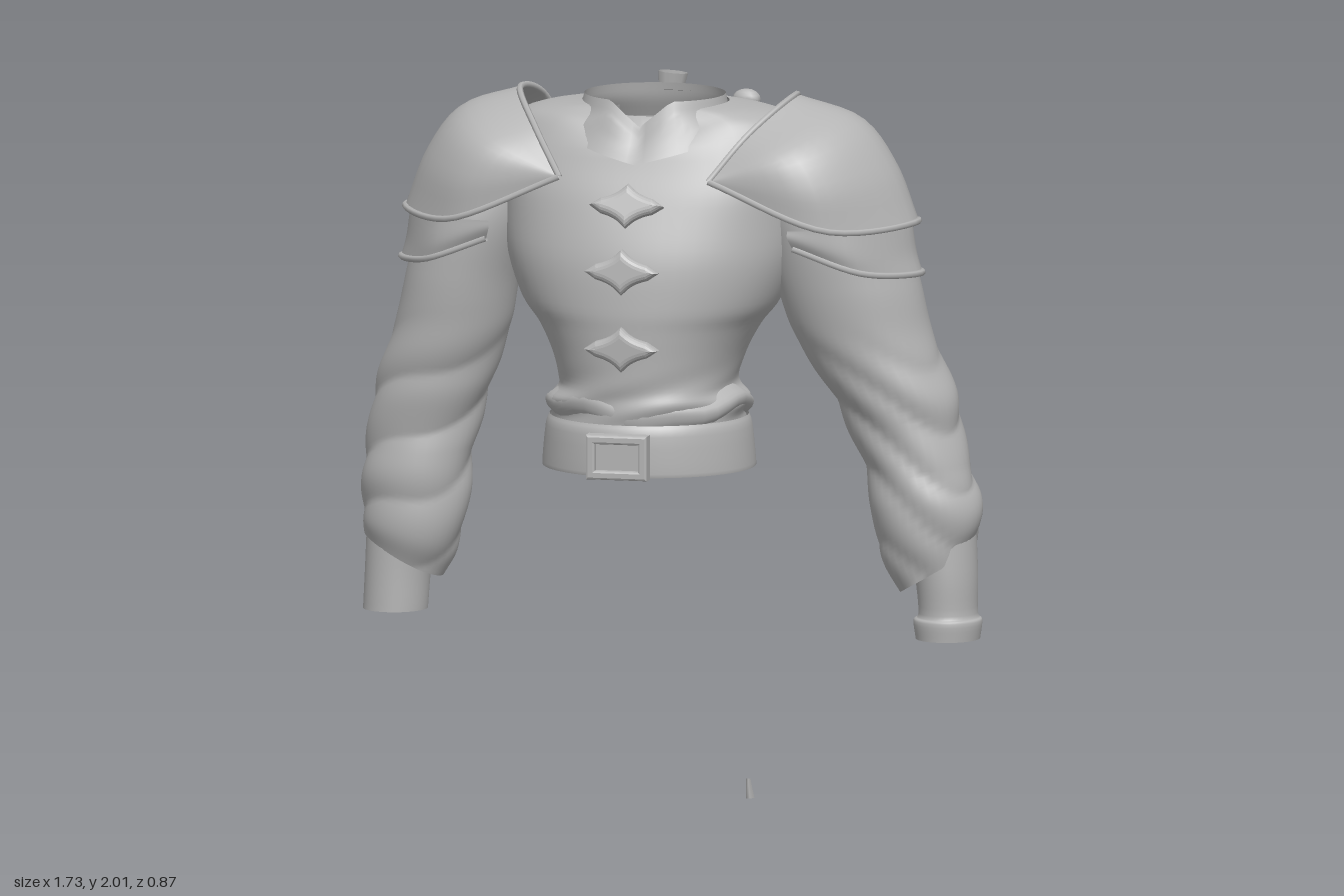
import * as THREE from 'three';
import { mergeGeometries } from 'three/addons/utils/BufferGeometryUtils.js';

const AXIS = -0.048; // middle of the jacket
const cloth = new THREE.MeshStandardMaterial({ color: 0xb4b4b4, side: THREE.DoubleSide });
cloth.name = 'plain grey';

// Smoothly resample a list of number rows.
function smoothRows(rows, n) {
  const size = rows[0].length;
  const spline = new THREE.CubicInterpolant(rows.map((_, i) => i), rows.flat(), size, new Array(size));
  return Array.from({ length: n + 1 }, (_, i) => Array.from(spline.evaluate((i / n) * (rows.length - 1))));
}

// Skin over rows of flat xyz triples.
function skin(rows, closed, reverse = false) {
  const n = rows[0].length / 3, index = [];
  for (let r = 0; r < rows.length - 1; r++) {
    for (let c = 0; c < (closed ? n : n - 1); c++) {
      const a = r * n + c, b = r * n + ((c + 1) % n), d = a + n, e = b + n;
      if (reverse) index.push(a, b, d, b, e, d);
      else index.push(a, d, b, b, d, e);
    }
  }
  const g = new THREE.BufferGeometry();
  g.setAttribute('position', new THREE.Float32BufferAttribute(rows.flat(), 3));
  g.setIndex(index);
  g.computeVertexNormals();
  return g;
}

// Closed tube from sections [y, xMin, xMax, zFront, zBack], listed upward.
function loft(sections, steps, { sides = 40, fold = () => 1, lift = () => 0 } = {}) {
  const rows = smoothRows(sections, steps).map(([y, x0, x1, zf, zb]) => {
    const row = [];
    for (let i = 0; i < sides; i++) {
      const a = (i / sides) * Math.PI * 2, f = fold(a, y);
      row.push((x0 + x1) / 2 + Math.cos(a) * f * (x1 - x0) / 2,
        y + lift(a, y),
        (zf + zb) / 2 + Math.sin(a) * f * (zf - zb) / 2);
    }
    return row;
  });
  return skin(rows, true);
}

const ring = (y, half, zf, zb) => [y, AXIS - half, AXIS + half, zf, zb];
const vNotch = (a, w) => Math.max(0, 1 - Math.abs(a - Math.PI / 2) / w); // V at the throat
const bump = (y, mid, w) => Math.exp(-(((y - mid) / w) ** 2));

// Waist crumples, and squarer shoulders higher up
function bodyFold(a, y) {
  const n = 2 + 0.5 * bump(y, 1.8, 0.12);
  const square = (Math.abs(Math.cos(a)) ** n + Math.abs(Math.sin(a)) ** n) ** (-1 / n);
  return square + 0.02 * Math.sin(5 * a + 60 * y) * bump(y, 1.18, 0.06);
}

export function createModel() {
  const model = new THREE.Group();
  const add = (name, geometry, parent = model) => {
    const m = new THREE.Mesh(geometry, cloth);
    m.name = name;
    parent.add(m);
    return m;
  };

  // Jacket body, from the hem up to the neck opening
  add('jacketBody', loft([
    ring(1.0, 0.27, 0.355, -0.155), ring(1.1, 0.265, 0.36, -0.16), ring(1.14, 0.262, 0.36, -0.16),
    ring(1.18, 0.272, 0.365, -0.165), ring(1.22, 0.242, 0.365, -0.155), ring(1.3, 0.262, 0.37, -0.175),
    ring(1.38, 0.303, 0.374, -0.205), ring(1.45, 0.355, 0.375, -0.225), ring(1.58, 0.4, 0.36, -0.24),
    ring(1.72, 0.41, 0.31, -0.24), ring(1.82, 0.41, 0.265, -0.235), ring(1.92, 0.39, 0.225, -0.215),
    ring(1.957, 0.32, 0.205, -0.18), ring(1.975, 0.2, 0.2, -0.15)], 65, {
    sides: 56, fold: bodyFold,
    lift: (a, y) => -Math.max(0, y - 1.87) * 0.9 * vNotch(a, 0.7),
  }));

  // Rumpled roll of cloth above the belt
  add('waistFold', loft([
    ring(1.13, 0.262, 0.355, -0.155), ring(1.15, 0.28, 0.362, -0.168),
    ring(1.175, 0.28, 0.364, -0.168), ring(1.2, 0.245, 0.355, -0.15)], 10, {
    lift: (a) => 0.016 * Math.sin(3 * a + 1) + 0.008 * Math.sin(7 * a),
  }));

  // Standing collar folded down to a V at the throat
  add('collar', loft([
    ring(1.9, 0.25, 0.277, -0.18), ring(1.95, 0.205, 0.235, -0.158), ring(1.995, 0.192, 0.215, -0.148)], 8, {
    sides: 64, lift: (a, y) => -0.07 * vNotch(a, y > 1.95 ? 0.45 : 0.45 + (1.95 - y) * 14),
  }));

  // Crescent neckline inside the collar
  const crescent = [];
  for (let i = 0; i <= 24; i++) {
    const t = i / 24, a = -0.4 + t * (Math.PI + 0.8), w = 0.05 * Math.sin(Math.PI * t);
    const p = (r, y) => [AXIS - 0.005 + Math.cos(a) * r * 0.9, y, 0.035 + Math.sin(a) * r];
    crescent.push([...p(0.125 - w * 0.55, 1.93), ...p(0.128 + w * 0.3, 1.95), ...p(0.13 + w, 1.9)]);
  }
  add('innerNeckline', skin(crescent, false));

  // Belt and buckle
  add('belt', loft([ring(0.99, 0.288, 0.375, -0.172), ring(1.0, 0.29, 0.38, -0.176),
    ring(1.1, 0.28, 0.378, -0.172), ring(1.13, 0.27, 0.365, -0.163)], 9, { sides: 56 }));
  const frame = new THREE.Shape();
  const rect = (p, w, h) => p.moveTo(-w, -h).lineTo(w, -h).lineTo(w, h).lineTo(-w, h).closePath();
  rect(frame, 0.079, 0.055);
  frame.holes.push(rect(new THREE.Path(), 0.066, 0.042));
  const buckle = new THREE.Group();
  buckle.name = 'buckle';
  buckle.position.set(-0.062, 1.05, 0.385);
  model.add(buckle);
  add('buckleFrame', new THREE.ExtrudeGeometry(frame, {
    depth: 0.036, bevelEnabled: true, bevelSize: 0.006, bevelThickness: 0.008, bevelSegments: 2 }), buckle);
  add('buckleBacking', new THREE.BoxGeometry(0.15, 0.1, 0.03), buckle).position.z = 0.01;

  // Four-pointed raised clasps down the chest
  const star = new THREE.Shape();
  star.moveTo(-0.075, 0).quadraticCurveTo(-0.025, 0.01, 0, 0.035).quadraticCurveTo(0.025, 0.01, 0.075, 0)
    .quadraticCurveTo(0.025, -0.01, 0, -0.035).quadraticCurveTo(-0.025, -0.01, -0.075, 0);
  for (const [y, z, tilt] of [[1.72, 0.305, -0.4], [1.55, 0.365, -0.1], [1.34, 0.368, 0.05]]) {
    const clasp = add('chestClasp', new THREE.ExtrudeGeometry(star, {
      depth: 0.01, bevelEnabled: true, bevelSize: 0.02, bevelThickness: 0.017, bevelSegments: 4 }));
    clasp.position.set(-0.06, y, z);
    clasp.rotation.x = tilt;
  }

  // Sleeves with spiral creases and a slanted cuff, over bare wrist cuffs
  const arms = [
    { side: 'right', s: -1,
      sleeve: [[0.71, -0.855, -0.645, 0.125, -0.09], [0.78, -0.862, -0.6, 0.145, -0.105],
        [0.9, -0.862, -0.57, 0.155, -0.115], [1.0, -0.855, -0.56, 0.15, -0.125], [1.1, -0.842, -0.535, 0.15, -0.135],
        [1.2, -0.82, -0.505, 0.165, -0.145], [1.35, -0.77, -0.455, 0.185, -0.15], [1.5, -0.735, -0.425, 0.2, -0.15],
        [1.65, -0.7, -0.37, 0.2, -0.17], [1.8, -0.64, -0.32, 0.16, -0.16]],
      cuff: [[0.56, -0.86, -0.685, 0.122, -0.07], [0.68, -0.855, -0.675, 0.12, -0.075], [0.82, -0.85, -0.65, 0.12, -0.08]] },
    { side: 'left', s: 1,
      sleeve: [[0.71, 0.635, 0.83, 0.125, -0.09], [0.8, 0.575, 0.852, 0.145, -0.105],
        [0.9, 0.555, 0.85, 0.155, -0.115], [1.0, 0.53, 0.82, 0.15, -0.125], [1.1, 0.485, 0.8, 0.15, -0.135],
        [1.2, 0.435, 0.78, 0.165, -0.145], [1.35, 0.34, 0.72, 0.185, -0.15], [1.5, 0.29, 0.685, 0.2, -0.15],
        [1.65, 0.26, 0.64, 0.2, -0.17], [1.8, 0.22, 0.55, 0.16, -0.16]],
      cuff: [[0.53, 0.678, 0.852, 0.122, -0.068], [0.58, 0.672, 0.858, 0.126, -0.072], [0.6, 0.685, 0.845, 0.115, -0.068],
        [0.7, 0.675, 0.845, 0.12, -0.075], [0.82, 0.65, 0.84, 0.12, -0.08]] },
  ];
  for (const { side, s, sleeve, cuff } of arms) {
    add(side + 'Sleeve', loft(sleeve, 90, {
      fold: (a, y) => 1 + 0.08 * THREE.MathUtils.smoothstep(1.42 - y, 0, 0.25)
        * (Math.abs(Math.sin(18 * y + 1.9 * s * Math.cos(a) + 0.8 * Math.sin(2 * a))) - 0.65),
      lift: (a, y) => s * Math.cos(a) * 0.06 * THREE.MathUtils.clamp((1.0 - y) / 0.3, 0, 1),
    }));
    add(side + 'WristCuff', loft(cuff, 16));
  }

  // Shoulder armour: a kite-shaped dome over a lower curved plate
  const F = [-0.26, 1.79, 0.265], B = [-0.34, 1.8, -0.25];
  const dome = [
    [F, [-0.345, 1.91, 0.185], [-0.425, 1.995, 0.03], [-0.4, 1.96, -0.13], B],
    [F, [-0.47, 1.87, 0.245], [-0.59, 1.94, 0.02], [-0.51, 1.89, -0.205], B],
    [F, [-0.53, 1.78, 0.265], [-0.685, 1.82, 0.02], [-0.56, 1.78, -0.235], B],
    [F, [-0.56, 1.665, 0.26], [-0.745, 1.665, 0.02], [-0.58, 1.66, -0.23], B],
  ];
  const lower = [
    [[-0.46, 1.66, 0.25], [-0.62, 1.66, 0.215], [-0.73, 1.65, 0.02], [-0.61, 1.65, -0.19], [-0.45, 1.66, -0.21]],
    [[-0.46, 1.64, 0.25], [-0.63, 1.59, 0.215], [-0.74, 1.58, 0.02], [-0.62, 1.58, -0.19], [-0.45, 1.62, -0.21]],
    [[-0.47, 1.61, 0.235], [-0.64, 1.545, 0.205], [-0.755, 1.525, 0.02], [-0.63, 1.525, -0.18], [-0.45, 1.58, -0.2]],
  ];
  function plate(name, table, s, parent, rims) {
    const curves = table.map((row) => new THREE.CatmullRomCurve3(
      row.map(([x, y, z]) => new THREE.Vector3(s < 0 ? x : 0.155 - (x + 0.26) * 1.08, y, z))));
    const rows = smoothRows(curves.map((c) => c.getPoints(28).flatMap((p) => p.toArray())), 14);
    add(name, skin(rows, false, s < 0), parent);
    for (const i of rims) add(name + 'Rim', new THREE.TubeGeometry(curves[i], 32, 0.009, 6), parent);
  }
  for (const s of [-1, 1]) {
    const shoulder = new THREE.Group();
    shoulder.name = s < 0 ? 'rightShoulderArmour' : 'leftShoulderArmour';
    model.add(shoulder);
    plate('shoulderDome', dome, s, shoulder, [0, 3]);
    plate('lowerPlate', lower, s, shoulder, [2]);
  }

  // Fur mantle on the back: a half-round pad covered in overlapping leaf-shaped locks
  const fur = new THREE.Group();
  fur.name = 'furMantle';
  model.add(fur);
  const centre = new THREE.Vector3(0.13, 1.71, -0.2), radii = new THREE.Vector3(0.39, 0.215, 0.172);
  const pad = add('furPad', new THREE.SphereGeometry(1, 32, 20, Math.PI, Math.PI), fur);
  pad.position.copy(centre);
  pad.scale.copy(radii);
  const leaf = [[0, -0.5], [0.38, -0.3], [0.5, 0], [0.32, 0.28], [0, 0.5]].map((p) => new THREE.Vector2(...p));
  const locks = [];
  for (let r = 0; r < 6; r++) {
    const lat = 0.8 - r * 0.3, count = 11;
    for (let i = 0; i < count; i++) {
      const lon = ((i + 0.5 * (r % 2) + 0.25) / count) * Math.PI;
      const unit = new THREE.Vector3(Math.cos(lat) * Math.cos(lon), Math.sin(lat), -Math.cos(lat) * Math.sin(lon));
      const normal = unit.clone().divide(radii).normalize();
      const dir = new THREE.Vector3(unit.x * 0.6, -1, 0);
      dir.addScaledVector(normal, -dir.dot(normal) * (lat < 0 ? 0.7 : 1)).normalize();
      const sideways = dir.clone().cross(normal).normalize();
      const out = sideways.clone().cross(dir);
      const length = 0.19 + 0.03 * Math.sin(i * 2.4 + r);
      const lock = new THREE.LatheGeometry(leaf, 8).scale(0.115, length, 0.03);
      lock.applyMatrix4(new THREE.Matrix4().makeBasis(sideways, dir, out)
        .setPosition(unit.multiply(radii).add(centre).addScaledVector(dir, length * 0.22)));
      locks.push(lock);
    }
  }
  add('furLocks', mergeGeometries(locks), fur);

  // Flared horn toggle and cord knot holding the fur
  const horn = add('hornToggle', new THREE.CylinderGeometry(0.042, 0.018, 0.15, 10, 3, true).scale(1, 1, 0.5), fur);
  horn.position.set(-0.1, 1.92, -0.35);
  horn.rotation.set(0.1, 0.4, -0.15);
  add('toggleCord', new THREE.TubeGeometry(new THREE.CatmullRomCurve3([
    new THREE.Vector3(-0.13, 1.75, -0.345), new THREE.Vector3(-0.115, 1.84, -0.36),
    new THREE.Vector3(-0.06, 1.86, -0.31), new THREE.Vector3(0.05, 1.9, -0.245),
    new THREE.Vector3(0.15, 1.95, -0.2)]), 24, 0.01, 6), fur);
  add('cordKnot', new THREE.SphereGeometry(0.028, 12, 8).scale(1.4, 1, 0.9), fur).position.set(0.15, 1.95, -0.2);

  // Small loose shard below the back
  const shard = add('looseShard', new THREE.CylinderGeometry(0.006, 0.012, 0.054, 4).scale(1, 1, 0.3));
  shard.position.set(0.1, 0.028, -0.436);
  shard.rotation.z = 0.1;
  return model;
}
